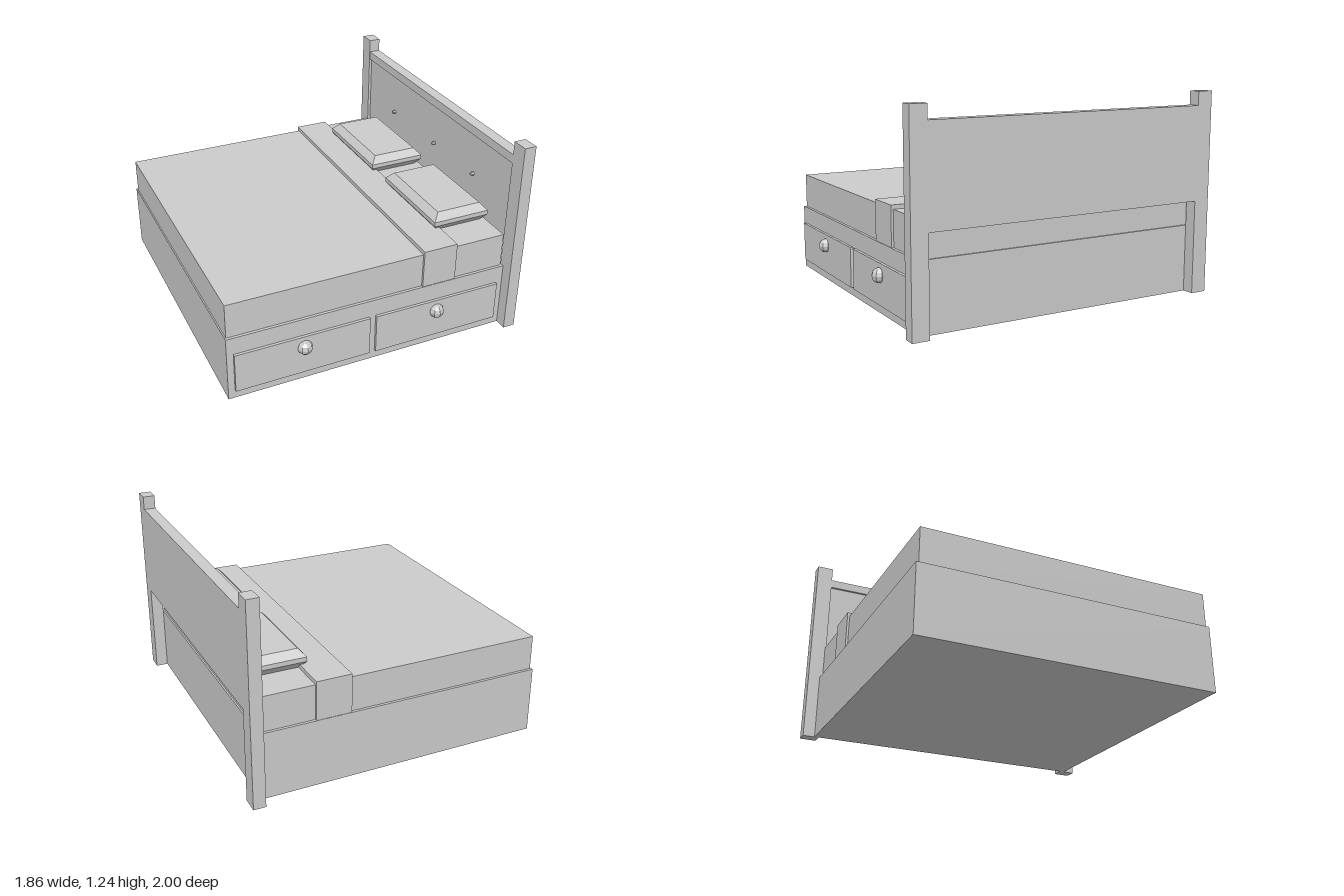
import * as THREE from 'three';

const material = new THREE.MeshStandardMaterial({ color: 0xcccccc, flatShading: true });

export function createModel() {
  const bed = new THREE.Group();
  bed.name = 'bed';

  const add = (name, geometry, x = 0, y = 0, z = 0) => {
    const mesh = new THREE.Mesh(geometry, material);
    mesh.name = name;
    mesh.position.set(x, y, z);
    bed.add(mesh);
    return mesh;
  };
  // box given by its limits on each axis
  const box = (name, [x0, x1], [y0, y1], [z0, z1]) =>
    add(name, new THREE.BoxGeometry(x1 - x0, y1 - y0, z1 - z0),
      (x0 + x1) / 2, (y0 + y1) / 2, (z0 + z1) / 2);

  // base, mattress and folded blanket band
  box('base', [-0.93, 0.85], [0, 0.415], [-0.925, 0.925]);
  box('mattress', [-0.922, 0.84], [0.415, 0.63], [-0.908, 0.908]);
  box('blanketBand', [0.293, 0.51], [0.415, 0.655], [-0.922, 0.922]);

  // drawers with faceted knobs on the front
  for (const [x0, x1, knobX] of [[-0.89, -0.055, -0.47], [-0.015, 0.807, 0.385]]) {
    box('drawer', [x0, x1], [0.055, 0.305], [0.92, 0.942]);
    add('drawerKnob', new THREE.SphereGeometry(0.045, 8, 6), knobX, 0.235, 0.946);
  }

  // headboard: two posts, a top rail and a recessed panel
  for (const side of [-1, 1]) {
    const inner = 0.897 * side, outer = side;
    box('headboardPost', [0.85, 0.925], [0, 1.24], [Math.min(inner, outer), Math.max(inner, outer)]);
  }
  box('headboardRail', [0.852, 0.925], [1.1, 1.155], [-0.897, 0.897]);
  box('headboardPanel', [0.868, 0.925], [0.575, 1.1], [-0.897, 0.897]);
  for (const z of [-0.515, 0.03, 0.5]) {
    const button = add('headboardButton', new THREE.CylinderGeometry(0.008, 0.013, 0.024, 6), 0.857, 0.838, z);
    button.rotation.z = Math.PI / 2;
  }

  // pillows: a box whose top and bottom rings are drawn inwards
  const w = 0.37, h = 0.125, d = 0.625, inset = 0.04;
  const pillow = new THREE.BoxGeometry(w, h, d, 1, 3, 1);
  const p = pillow.attributes.position;
  for (let i = 0; i < p.count; i++) {
    const y = p.getY(i);
    if (Math.abs(y) > h * 0.4) {
      p.setX(i, p.getX(i) - Math.sign(p.getX(i)) * inset);
      p.setZ(i, p.getZ(i) - Math.sign(p.getZ(i)) * inset);
    } else {
      p.setY(i, y > 0 ? 0.018 : -0.01);
    }
  }
  pillow.computeVertexNormals();
  for (const z of [-0.398, 0.414]) add('pillow', pillow, 0.655, 0.683, z);

  return bed;
}
